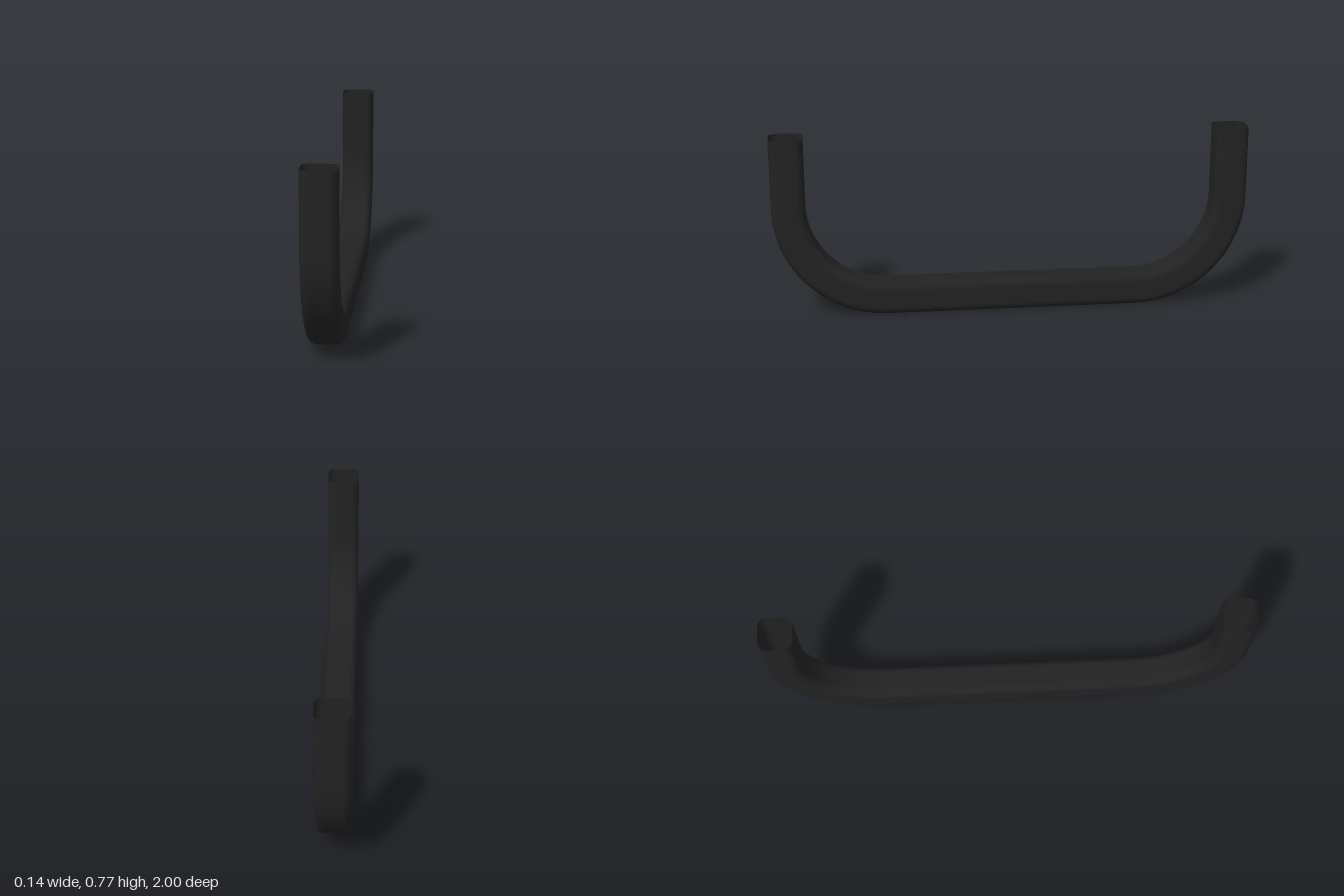
import * as THREE from 'three';

const HALF = 0.07, CORNER = 0.035;      // rounded square tube section
const HEIGHT = 0.767, BEND = 0.4, BEND_Z = 0.53, BEND_Y = 0.47;

// Rounded square section: points and outward normals, counter-clockwise
function tubeSection(steps = 8) {
  const points = [];
  for (let q = 0; q < 4; q++) {
    const mid = Math.PI / 4 + q * Math.PI / 2;
    const cu = Math.sign(Math.cos(mid)) * (HALF - CORNER);
    const cv = Math.sign(Math.sin(mid)) * (HALF - CORNER);
    for (let k = 0; k <= steps; k++) {
      const a = (q + k / steps) * Math.PI / 2;
      const nu = Math.cos(a), nv = Math.sin(a);
      points.push({ u: cu + CORNER * nu, v: cv + CORNER * nv, nu, nv });
    }
  }
  points.push(points[0]);
  return points;
}

// Centre line: front upright, bend, base, bend, rear upright
function centreLine(steps = 24) {
  const stations = [{ y: HEIGHT, z: BEND_Z + BEND, a: 0 }];
  for (const side of [1, -1]) {
    for (let k = 0; k <= steps; k++) {
      const a = (k / steps + (side > 0 ? 0 : 1)) * Math.PI / 2;
      stations.push({ y: BEND_Y - BEND * Math.sin(a), z: side * BEND_Z + BEND * Math.cos(a), a });
    }
  }
  stations.push({ y: HEIGHT, z: -BEND_Z - BEND, a: Math.PI });
  return stations;
}

// Sweep the section along the centre line, leaving both ends open
function sweptTube() {
  const section = tubeSection(), line = centreLine();
  const positions = [], normals = [], index = [], n = section.length;
  line.forEach(({ y, z, a }, i) => {
    const dy = -Math.sin(a), dz = Math.cos(a);
    section.forEach(({ u, v, nu, nv }, j) => {
      positions.push(u, y + v * dy, z + v * dz);
      normals.push(nu, nv * dy, nv * dz);
      if (i < line.length - 1 && j < n - 1) {
        const p = i * n + j;
        index.push(p, p + 1, p + n + 1, p, p + n + 1, p + n);
      }
    });
  });
  const geometry = new THREE.BufferGeometry();
  geometry.setAttribute('position', new THREE.Float32BufferAttribute(positions, 3));
  geometry.setAttribute('normal', new THREE.Float32BufferAttribute(normals, 3));
  geometry.setIndex(index);
  return geometry;
}

export function createModel() {
  const group = new THREE.Group();
  group.name = 'bentTubeHandle';
  const black = new THREE.MeshStandardMaterial({ color: 0x222222, side: THREE.DoubleSide });
  black.name = 'black';
  const tube = new THREE.Mesh(sweptTube(), black);
  tube.name = 'bentTube';
  group.add(tube);
  return group;
}
